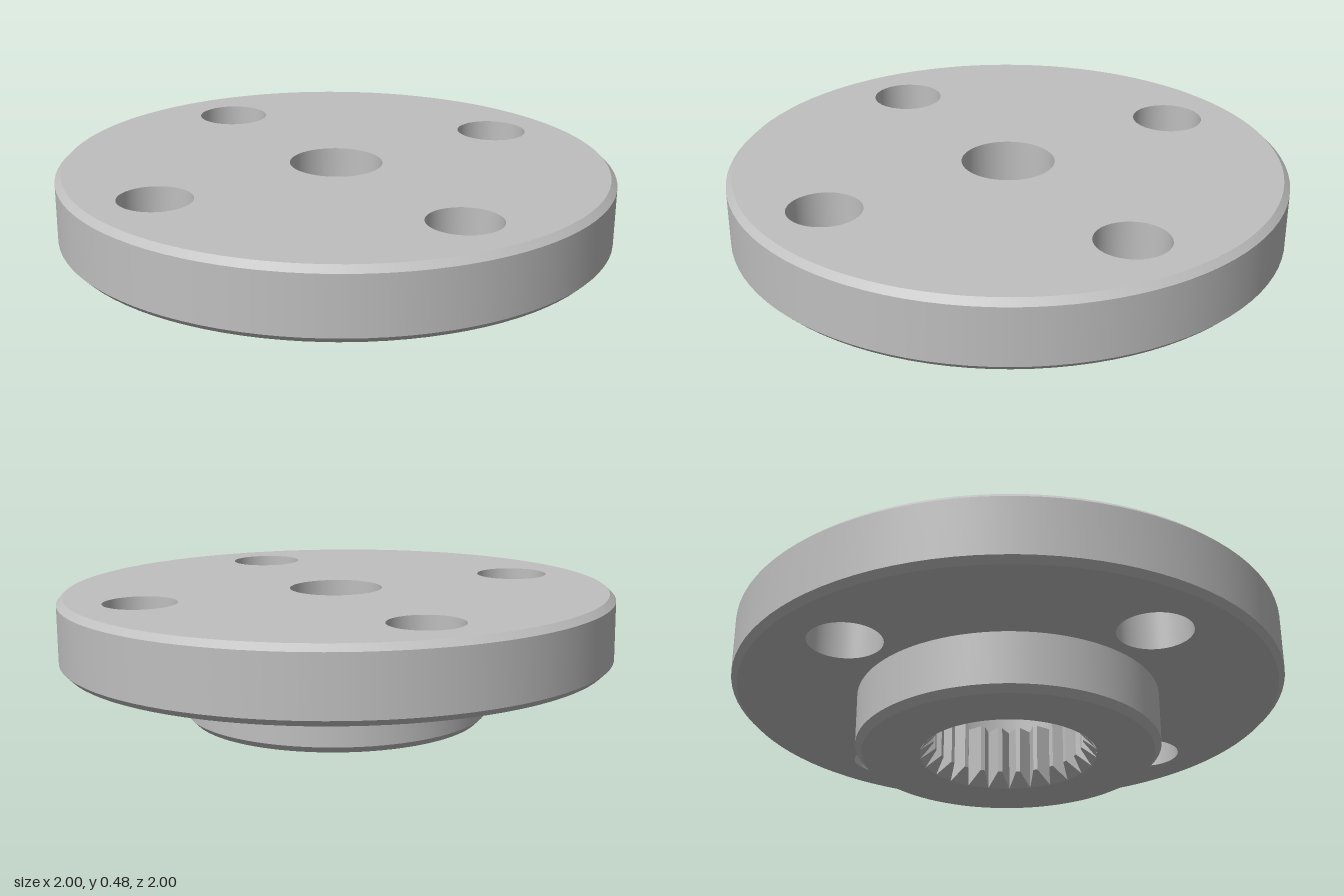
import * as THREE from 'three';
import { mergeGeometries } from 'three/addons/utils/BufferGeometryUtils.js';

const SEG = 96;
const TOP = 0.468, UNDER = 0.215, CEILING = 0.31, TOOTH_TOP = 0.23;
const BOSS_R = 0.55, BORE_R = 0.32, TIP_R = 0.27, SHAFT_R = 0.167;
const BOLT_R = 0.13, BOLT_POS = [0.72, -0.127];

// Sharp-edged turned surface: one lathe band per profile segment
function turned(profile) {
  const bands = [];
  for (let i = 0; i + 1 < profile.length; i++) {
    const pts = [profile[i], profile[i + 1]].map(([r, y]) => new THREE.Vector2(r, y));
    bands.push(new THREE.LatheGeometry(pts, SEG));
  }
  return mergeGeometries(bands);
}

// Four bolt hole centres as [x, z], a quarter turn apart
function boltCentres() {
  const out = [];
  let [x, z] = BOLT_POS;
  for (let i = 0; i < 4; i++) {
    out.push([x, z]);
    [x, z] = [z, -x];
  }
  return out;
}

// Flat disc face with a central hole and the bolt holes
function discFace(radius, innerRadius, y, up) {
  const shape = new THREE.Shape().absarc(0, 0, radius, 0, Math.PI * 2, false);
  const hole = (x, z, r) =>
    shape.holes.push(new THREE.Path().absarc(x, up ? -z : z, r, 0, Math.PI * 2, true));
  hole(0, 0, innerRadius);
  boltCentres().forEach(([x, z]) => hole(x, z, BOLT_R));
  const g = new THREE.ShapeGeometry(shape, SEG / 2);
  g.rotateX(up ? -Math.PI / 2 : Math.PI / 2);
  return g.translate(0, y, 0);
}

// Internal spline: tapered teeth whose lower ends are cut by the entry chamfer
function splineGeometry(count) {
  const pos = [];
  const pt = (r, a, y) => [r * Math.sin(a), y, r * Math.cos(a)];
  const quad = (a, b, c, d) => pos.push(...a, ...b, ...c, ...a, ...c, ...d);
  const pitch = (Math.PI * 2) / count;
  const bevel = 0.05;
  for (let i = 0; i < count; i++) {
    const a0 = i * pitch, a1 = a0 + pitch;
    const t0 = a0 + pitch * 0.38, t1 = a0 + pitch * 0.62;
    const low = [pt(BORE_R, a0, 0), pt(TIP_R, t0, bevel), pt(TIP_R, t1, bevel), pt(BORE_R, a1, 0)];
    const high = [[BORE_R, a0], [TIP_R, t0], [TIP_R, t1], [BORE_R, a1]]
      .map(([r, a]) => pt(r, a, TOOTH_TOP));
    for (let k = 0; k < 3; k++) quad(low[k], high[k], high[k + 1], low[k + 1]);
    quad(low[0], low[1], low[2], low[3]);
    quad(high[0], high[3], high[2], high[1]);
  }
  const g = new THREE.BufferGeometry();
  g.setAttribute('position', new THREE.Float32BufferAttribute(pos, 3));
  g.computeVertexNormals();
  return g;
}

export function createModel() {
  const metal = new THREE.MeshStandardMaterial({ color: 0xbfbfbf });
  metal.name = 'greyMetal';

  const group = new THREE.Group();
  group.name = 'splinedFlange';
  const add = (name, geometry) => {
    const mesh = new THREE.Mesh(geometry, metal);
    mesh.name = name;
    group.add(mesh);
    return mesh;
  };

  // Wide disc with chamfered rim
  add('flangeRim', turned([[0.978, UNDER], [1, UNDER + 0.022], [1, TOP - 0.022], [0.978, TOP]]));
  add('flangeTop', discFace(0.978, SHAFT_R, TOP, true));
  add('flangeUnderside', discFace(0.978, BOSS_R, UNDER, false));

  // Bolt holes through the disc
  const boltWall = turned([[BOLT_R, TOP], [BOLT_R, UNDER]]);
  boltCentres().forEach(([x, z]) => add('boltHole', boltWall).position.set(x, 0, z));

  // Hub below the disc
  add('hub', turned([[BORE_R, 0], [BOSS_R - 0.024, 0], [BOSS_R, 0.024], [BOSS_R, UNDER]]));

  // Centre hole stepping out to the wider splined bore
  add('bore', turned([[SHAFT_R, TOP], [SHAFT_R, CEILING], [BORE_R, CEILING], [BORE_R, TOOTH_TOP]]));
  add('splineTeeth', splineGeometry(25));

  // The part sits very slightly tilted
  group.rotation.z = -0.008;
  group.position.set(-0.0028, 0.0043, 0);
  const model = new THREE.Group();
  model.name = 'model';
  model.add(group);
  return model;
}
